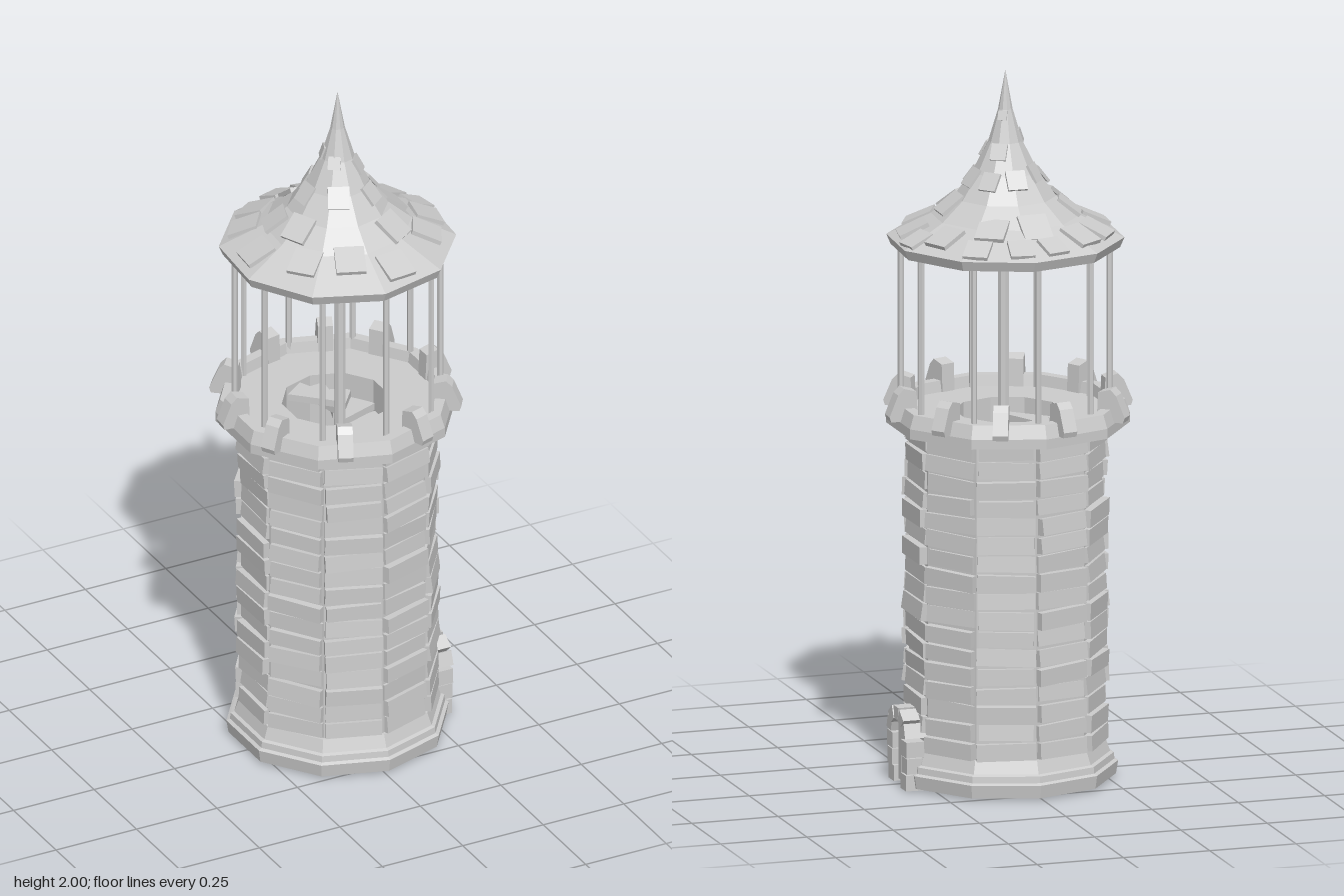
import * as THREE from 'three';

const SIDES = 10;
const STEP = (Math.PI * 2) / SIDES;
const stone = new THREE.MeshStandardMaterial({ color: 0xcccccc, flatShading: true });
const shell = new THREE.MeshStandardMaterial({ color: 0xcccccc, flatShading: true, side: THREE.DoubleSide });

// Small seeded generator, returns -1..1
let seed = 7;
function jitter() {
  seed = (seed * 16807) % 2147483647;
  return (seed / 2147483647) * 2 - 1;
}

function part(parent, name, geometry, material = stone) {
  const mesh = new THREE.Mesh(geometry, material);
  mesh.name = name;
  parent.add(mesh);
  return mesh;
}

function group(parent, name) {
  const g = new THREE.Group();
  g.name = name;
  parent.add(g);
  return g;
}

// Ten-sided turned shape with a corner towards +z
function turned(profile) {
  return new THREE.LatheGeometry(profile.map(([r, y]) => new THREE.Vector2(r, y)), SIDES);
}

// Place a mesh around the axis with its local +z pointing outwards
function around(mesh, angle, radius, y) {
  mesh.position.set(Math.sin(angle) * radius, y, Math.cos(angle) * radius);
  mesh.rotation.set(0, angle, 0, 'YXZ');
  return mesh;
}

// Box whose top is wider or narrower than its bottom
function taperedBox(w, h, d, k) {
  const g = new THREE.BoxGeometry(w, h, d);
  const p = g.attributes.position;
  for (let i = 0; i < p.count; i++) if (p.getY(i) > 0) p.setX(i, p.getX(i) * k);
  return g;
}

const ROOF = [[0.328, 1.53], [0.205, 1.592], [0.14, 1.645], [0.09, 1.715], [0.047, 1.8], [0.02, 1.89], [0, 2]];

// Roof height and slope angle at a given radius
function roofAt(r) {
  let i = 0;
  while (i < ROOF.length - 2 && r < ROOF[i + 1][0]) i++;
  const [r0, y0] = ROOF[i], [r1, y1] = ROOF[i + 1];
  const slope = (y1 - y0) / (r0 - r1);
  return { y: y0 + (r0 - r) * slope, tilt: Math.atan(slope) };
}

function addWalls(root) {
  part(root, 'base', turned([[0, 0.008], [0.304, 0.008], [0.31, 0.045], [0.3, 0.05], [0.298, 0.068],
    [0.288, 0.072], [0.275, 0.108], [0.25, 0.108]]));
  part(root, 'towerCore', turned([[0.265, 0.08], [0.265, 1.01]]), shell);
  // One slightly crooked slab per face and course
  const slabs = group(root, 'wallSlabs');
  const rows = 17, pitch = 0.9 / rows;
  for (let row = 0; row < rows; row++) {
    for (let k = 0; k < SIDES; k++) {
      const g = new THREE.BoxGeometry(0.157 + jitter() * 0.008, 0.046 + jitter() * 0.004, 0.035);
      const slab = part(slabs, 'wallSlab', g);
      around(slab, (k + 0.5) * STEP, 0.249 + jitter() * 0.008, 0.105 + (row + 0.5) * pitch);
      slab.rotation.x = -0.04 + jitter() * 0.1;
      slab.rotation.y += jitter() * 0.03;
      slab.rotation.z = jitter() * 0.035;
    }
  }
}

function addGallery(root) {
  part(root, 'galleryFloor', turned([[0.15, 0.99], [0.25, 1.0], [0.335, 1.0], [0.335, 1.028], [0.322, 1.066],
    [0.292, 1.066], [0.286, 1.035], [0.15, 1.035], [0.15, 0.03], [0, 0.03]]), shell);
  // Leaning wedge stones along the parapet, each a few degrees off its face centre
  const outline = [[0.268, 1.03], [0.345, 1.03], [0.35, 1.045], [0.325, 1.105], [0.308, 1.122], [0.272, 1.112]];
  const shape = new THREE.Shape(outline.map(([r, y]) => new THREE.Vector2(r, y)));
  const wedge = new THREE.ExtrudeGeometry(shape, { depth: 0.042, bevelEnabled: false });
  wedge.translate(0, 0, -0.021).rotateY(-Math.PI / 2);
  const stones = group(root, 'parapetStones');
  [1, 2, 0, 2, -4, -7, -3, -3, -6, -5].forEach((degrees, k) => {
    around(part(stones, 'parapetStone', wedge), (k + 0.5) * STEP + THREE.MathUtils.degToRad(degrees), 0, 0);
  });
}

function addPosts(root) {
  const posts = group(root, 'roofPosts');
  const post = new THREE.CylinderGeometry(0.009, 0.009, 0.5, 6);
  for (let k = 0; k < SIDES; k++) around(part(posts, 'roofPost', post), k * STEP, 0.287, 1.28);
}

function addStairs(root) {
  const stairs = group(root, 'spiralStairs');
  const pole = part(stairs, 'stairPole', new THREE.CylinderGeometry(0.016, 0.016, 1.67, 8));
  pole.position.set(0, 0.865, 0.015);
  const a = 0.27;
  const shape = new THREE.Shape([[0, -0.012], [0.138 * Math.cos(a), -0.138 * Math.sin(a)],
    [0.138 * Math.cos(a), 0.138 * Math.sin(a)], [0, 0.012]].map(([x, y]) => new THREE.Vector2(x, y)));
  const tread = new THREE.ExtrudeGeometry(shape, { depth: 0.02, bevelEnabled: false }).rotateX(-Math.PI / 2);
  for (let i = 0; i < 44; i++) {
    const step = part(stairs, 'stairStep', tread);
    step.position.y = 1.01 - i * 0.022;
    step.rotation.y = 2.2 - i * 0.56;
  }
}

function addRoof(root) {
  const cover = part(root, 'roofShell', turned([[0, 1.92], [0.04, 1.78], [0.08, 1.7], [0.13, 1.63], [0.195, 1.575],
    [0.3, 1.52], [0.302, 1.502], [0.316, 1.502], ...ROOF]), shell);
  cover.rotation.y = -0.07;
  // Loose shingles: x, z, size
  const places = [
    [-0.26, 0.008, 0.083], [-0.22, -0.14, 0.083], [-0.15, -0.21, 0.083], [-0.05, -0.272, 0.066],
    [0.045, -0.275, 0.068], [0.16, -0.235, 0.07], [0.22, -0.127, 0.08], [0.28, -0.057, 0.07],
    [0.262, 0.033, 0.082], [0.21, 0.133, 0.083], [0.047, 0.257, 0.083], [-0.07, 0.208, 0.083], [-0.18, 0.148, 0.08],
    [-0.17, -0.052, 0.072], [-0.15, 0.053, 0.075], [-0.02, -0.202, 0.083], [0.1, -0.182, 0.082],
    [0.16, 0.013, 0.075], [0.1, 0.143, 0.08],
    [-0.065, -0.062, 0.052], [0.0, -0.097, 0.055], [0.07, -0.072, 0.052], [0.1, -0.002, 0.055],
    [0.065, 0.078, 0.055], [-0.04, 0.083, 0.06], [-0.1, -0.002, 0.055],
    [0.035, -0.047, 0.045], [0.045, 0.038, 0.045], [-0.03, 0.038, 0.035], [-0.04, -0.015, 0.035], [0.015, -0.02, 0.025],
  ];
  const shingles = group(root, 'shingles');
  for (const [x, z, size] of places) {
    const r = Math.hypot(x, z);
    const { y, tilt } = roofAt(r);
    const s = part(shingles, 'shingle', new THREE.BoxGeometry(size, size * 0.15, size * 1.05));
    around(s, Math.atan2(x, z), r * 0.985, y + 0.002);
    s.rotation.x = tilt - 0.04;
    s.rotation.y += jitter() * 0.1;
  }
}

function addDoor(root) {
  // Built facing +z, then turned to face +x
  const door = group(root, 'doorway');
  door.rotation.y = Math.PI / 2;
  for (let i = -1; i <= 1; i++) {
    const h = i === 0 ? 0.175 : 0.16;
    const plank = part(door, 'doorPlank', new THREE.BoxGeometry(0.025, h, 0.04));
    plank.position.set(i * 0.028, 0.008 + h / 2, 0.276);
  }
  for (const side of [-1, 1]) {
    for (let i = 0; i < 3; i++) {
      const block = part(door, 'jambStone', new THREE.BoxGeometry(0.044 + jitter() * 0.004, 0.044, 0.075));
      block.position.set(side * 0.064, 0.023 + i * 0.047, 0.276 + jitter() * 0.004);
      block.rotation.z = jitter() * 0.03;
    }
  }
  for (let i = -2; i <= 2; i++) {
    const a = i * 0.62;
    const block = part(door, 'archStone', taperedBox(0.029, 0.036, 0.075, 1.45));
    block.position.set(Math.sin(a) * 0.062, 0.142 + Math.cos(a) * 0.062, 0.278 + jitter() * 0.004);
    block.rotation.z = -a;
  }
}

export function createModel() {
  const root = new THREE.Group();
  root.name = 'stoneTower';
  addGallery(root);
  // The body sits slightly off the middle of the gallery
  const body = group(root, 'towerBody');
  body.position.set(0.01, 0, -0.007);
  addWalls(body);
  addPosts(body);
  addStairs(body);
  addRoof(body);
  addDoor(body);
  return root;
}
